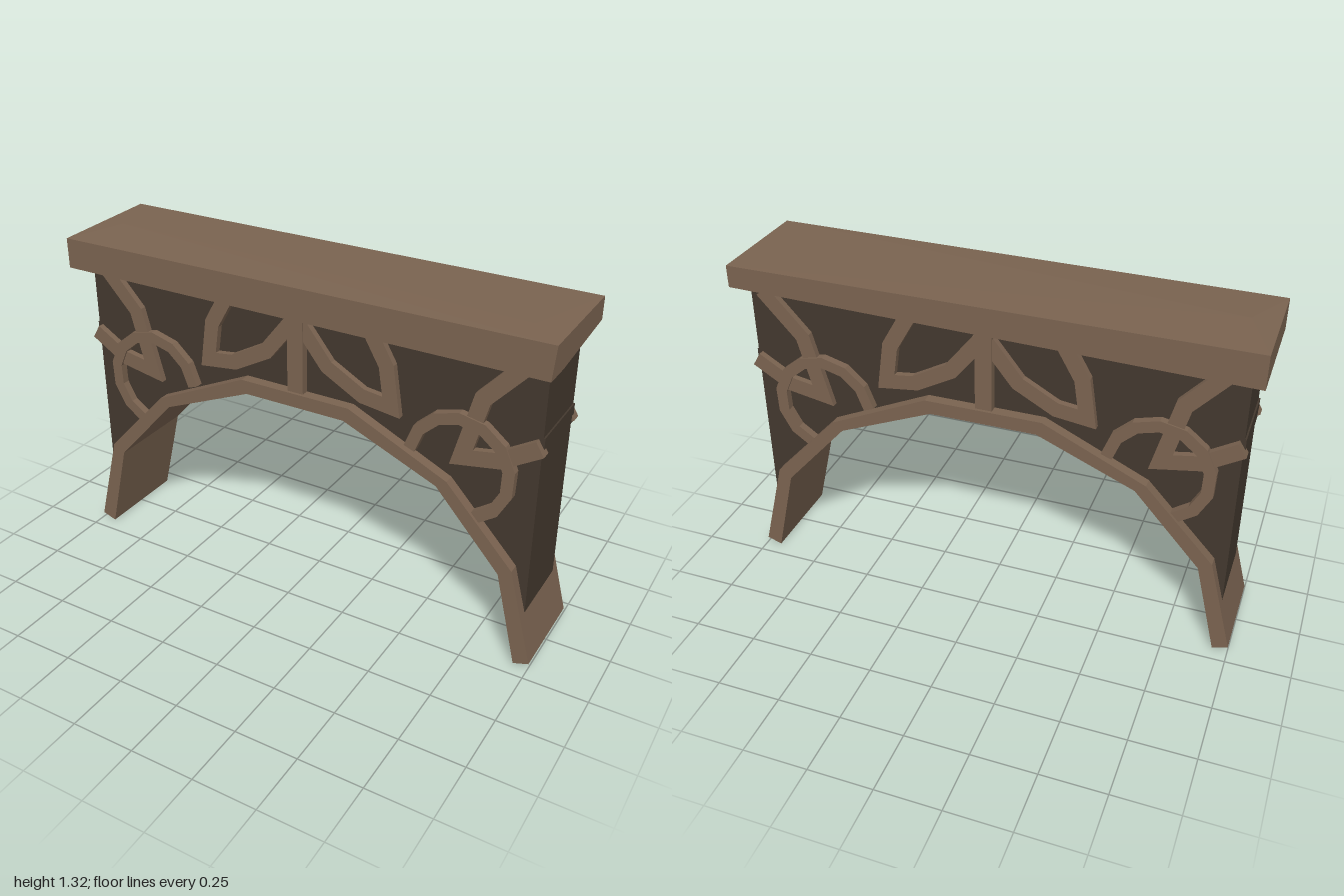
import * as THREE from 'three';
import { ConvexGeometry } from 'three/addons/geometries/ConvexGeometry.js';

const wood = new THREE.MeshStandardMaterial({ color: 0x7a6350, flatShading: true });
const darkWood = new THREE.MeshStandardMaterial({ color: 0x43382e, flatShading: true });

const toV2 = (pts) => pts.map(([x, y]) => new THREE.Vector2(x, y));
const mirrorX = (pts) => pts.map(([x, y]) => [-x, y]);

// Slab with the given outline between two depths
function slab(name, points, z0, z1, material) {
  const geo = new THREE.ExtrudeGeometry(new THREE.Shape(points), { depth: z1 - z0, bevelEnabled: false });
  geo.translate(0, 0, z0);
  const mesh = new THREE.Mesh(geo, material);
  mesh.name = name;
  return mesh;
}

// Outline of a strip of constant width with mitred corners along a path
function strip(path, width) {
  const p = toV2(path);
  const left = [], right = [];
  const normal = (a, b) => {
    const d = b.clone().sub(a).normalize();
    return new THREE.Vector2(-d.y, d.x);
  };
  p.forEach((pt, i) => {
    const n0 = normal(p[Math.max(i - 1, 0)], p[Math.max(i, 1)]);
    const n1 = normal(p[Math.min(i, p.length - 2)], p[Math.min(i + 1, p.length - 1)]);
    const m = n0.clone().add(n1).normalize();
    m.multiplyScalar(width / 2 / m.dot(n0));
    left.push(pt.clone().add(m));
    right.unshift(pt.clone().sub(m));
  });
  return [...left, ...right];
}

export function createModel() {
  const model = new THREE.Group();
  model.name = 'archedLintel';

  // Faceted arch with legs
  const outer = [[-1, 0.02], [-0.9, 0.4], [-0.63, 0.69], [-0.23, 0.875]];
  const inner = [[-0.94, 0], [-0.85, 0.37], [-0.59, 0.66], [-0.21, 0.82]];
  model.add(slab('arch', toV2([
    ...outer, ...mirrorX(outer).reverse(), ...mirrorX(inner), ...inner.slice().reverse(),
  ]), -0.19, 0.19, wood));

  // Dark infill between arch and beam
  const infill = [[-0.95, 1.21], [-0.95, 0.21], [-0.88, 0.385], [-0.61, 0.675], [-0.22, 0.85]];
  model.add(slab('infillPanel', toV2([...infill, ...mirrorX(infill).reverse()]), -0.147, 0.147, darkWood));

  // Worn top beam: a block with chipped edges
  const beam = new THREE.Mesh(new ConvexGeometry([
    [-1, 1.32, -0.23], [0.99, 1.322, -0.23], [0.99, 1.32, 0.23],
    [-0.9, 1.322, 0.01], [0.87, 1.322, 0.11], [-1, 1.31, 0.23], [-0.77, 1.295, 0.23],
    [-1, 1.19, 0.23], [0.98, 1.19, 0.23], [-1, 1.19, -0.23],
    [0.99, 1.205, 0.15], [0.99, 1.235, -0.23], [0.94, 1.19, -0.14],
  ].map((c) => new THREE.Vector3(...c))), wood);
  beam.name = 'topBeam';
  model.add(beam);

  // Post in the middle
  model.add(slab('centrePost', toV2([[-0.033, 0.86], [0.033, 0.86], [0.033, 1.2], [-0.033, 1.2]]),
    -0.178, 0.178, wood));

  // Carved strips, on both halves and both faces
  const ringPath = [];
  for (let i = 0; i <= 9; i++) {
    const a = THREE.MathUtils.degToRad(249 - (241 * i) / 9);
    ringPath.push([-0.663 + 0.192 * Math.cos(a), 0.748 + 0.197 * Math.sin(a)]);
  }
  const carvings = [
    { name: 'innerBranch', width: 0.06, depth: 0.172,
      path: [[-0.29, 1.21], [-0.37, 1.07], [-0.393, 0.915], [-0.275, 0.93], [-0.13, 1.01], [-0.015, 1.155]] },
    { name: 'outerBranch', width: 0.062, depth: 0.172,
      path: [[-0.89, 1.21], [-0.735, 1.04], [-0.67, 0.795], [-0.81, 0.82], [-0.95, 0.905]] },
    { name: 'ringArc', width: 0.045, depth: 0.178, path: ringPath },
  ];
  for (const side of [1, -1]) {
    for (const { name, width, depth, path } of carvings) {
      const outline = strip(side > 0 ? path : mirrorX(path), width);
      model.add(slab(name, outline, 0.13, depth, wood), slab(name, outline, -depth, -0.13, wood));
    }
    // Band joining the strips around the end
    const band = new THREE.Mesh(new THREE.BoxGeometry(0.03, 0.073, 0.294), darkWood);
    band.position.set(side * 0.941, 0.902, 0);
    band.name = 'endBand';
    model.add(band);
  }
  return model;
}
